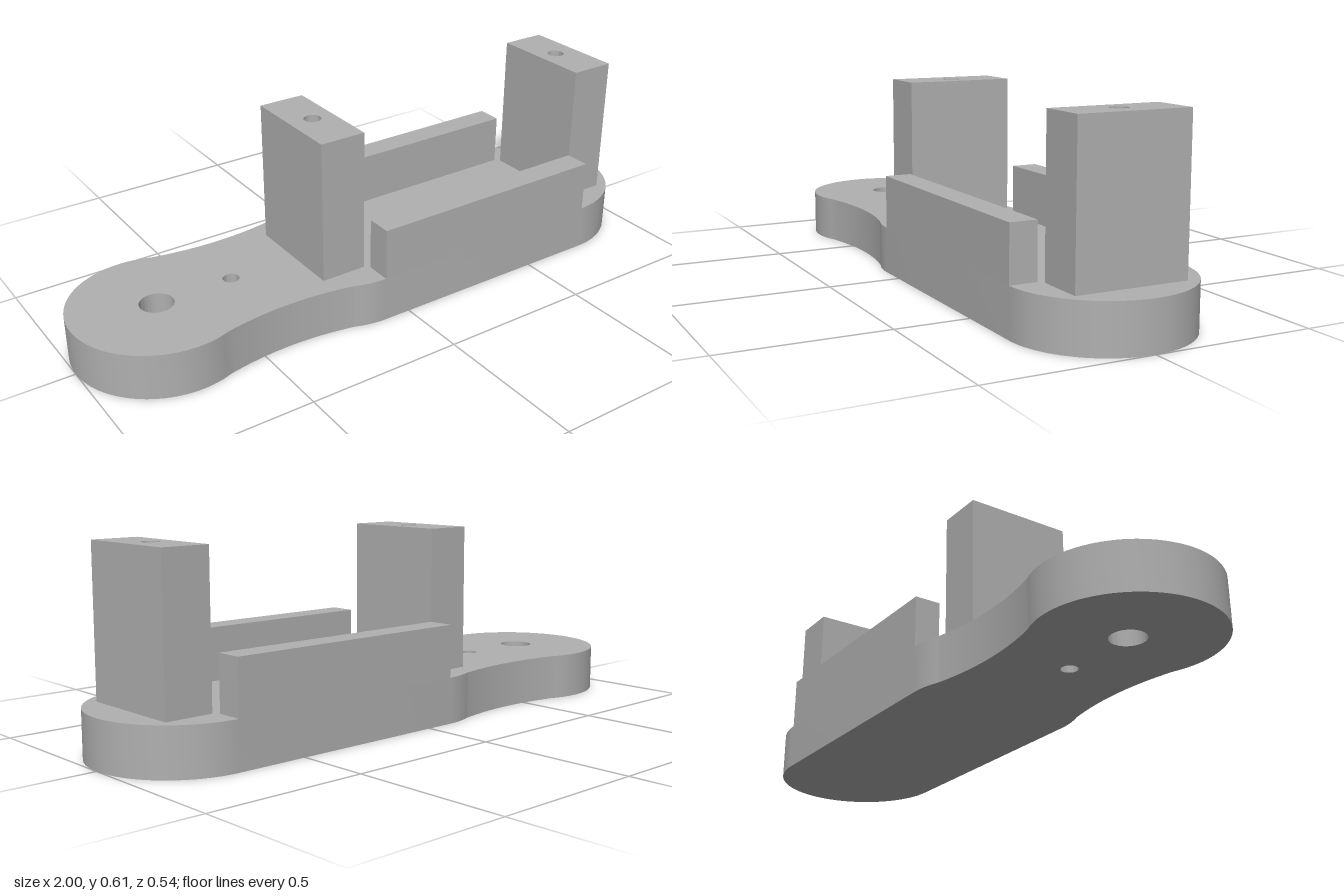
import * as THREE from 'three';
import { toCreasedNormals } from 'three/addons/utils/BufferGeometryUtils.js';

const BASE_H = 0.147, POST_TOP = 0.605, WALL_TOP = 0.314;
const R = 0.272, END_X = 0.728, NECK_X = -0.09;

// Extrude a plan-view shape upward between two heights
function extrudeUp(shape, y0, y1) {
  const geo = new THREE.ExtrudeGeometry(shape, { depth: y1 - y0, bevelEnabled: false, curveSegments: 32 });
  geo.rotateX(-Math.PI / 2);
  geo.translate(0, y0, 0);
  return toCreasedNormals(geo, 0.5);
}

function addHole(shape, x, radius) {
  shape.holes.push(new THREE.Path().absarc(x, 0, radius, 0, Math.PI * 2, true));
}

// Rounded arm outline with a shallow waist on both sides
function baseShape() {
  const waistX = (NECK_X - END_X) / 2, dx = 0.1;
  const a = Math.acos(dx / R);
  const jointY = R * Math.sin(a);
  const half = waistX + END_X - dx;
  const sag = jointY - 0.228;
  const waistR = (half * half + sag * sag) / (2 * sag);
  const waistY = 0.228 + waistR;
  const b = Math.asin(half / waistR);
  const up = Math.PI / 2;

  const s = new THREE.Shape();
  s.absarc(END_X, 0, R, -up, up, false);
  s.absarc(NECK_X, 0, R, up, Math.PI - a, false);
  s.absarc(waistX, waistY, waistR, -up + b, -up - b, true);
  s.absarc(-END_X, 0, R, a, Math.PI * 2 - a, false);
  s.absarc(waistX, -waistY, waistR, up + b, up - b, true);
  s.absarc(NECK_X, 0, R, Math.PI + a, Math.PI * 1.5, false);
  s.closePath();
  return s;
}

export function createModel() {
  const model = new THREE.Group();
  model.name = 'servoArm';
  const grey = new THREE.MeshStandardMaterial({ color: 0xb0b0b0 });
  grey.name = 'grey';

  const add = (name, geo) => {
    const mesh = new THREE.Mesh(geo, grey);
    mesh.name = name;
    model.add(mesh);
    return mesh;
  };

  // Base plate with pivot hole and small pin hole
  const plate = baseShape();
  addHole(plate, -0.73, 0.053);
  addHole(plate, -0.48, 0.026);
  add('basePlate', extrudeUp(plate, 0, BASE_H));

  // Mounting posts with screw holes
  for (const [name, x0, x1, holeX] of [
    ['innerPost', -0.255, -0.105, -0.175],
    ['outerPost', 0.743, 0.893, 0.812],
  ]) {
    const d = 0.174;
    const s = new THREE.Shape([
      new THREE.Vector2(x0, -d), new THREE.Vector2(x1, -d),
      new THREE.Vector2(x1, d), new THREE.Vector2(x0, d),
    ]);
    addHole(s, holeX, 0.027);
    add(name, extrudeUp(s, BASE_H, POST_TOP));
  }

  // Side walls flush with the plate edges
  for (const [name, side] of [['frontWall', 1], ['backWall', -1]]) {
    const t = 0.084;
    const wall = add(name, new THREE.BoxGeometry(END_X - NECK_X, WALL_TOP - BASE_H, t));
    wall.position.set((END_X + NECK_X) / 2, (WALL_TOP + BASE_H) / 2, side * (R - t / 2));
  }

  return model;
}
